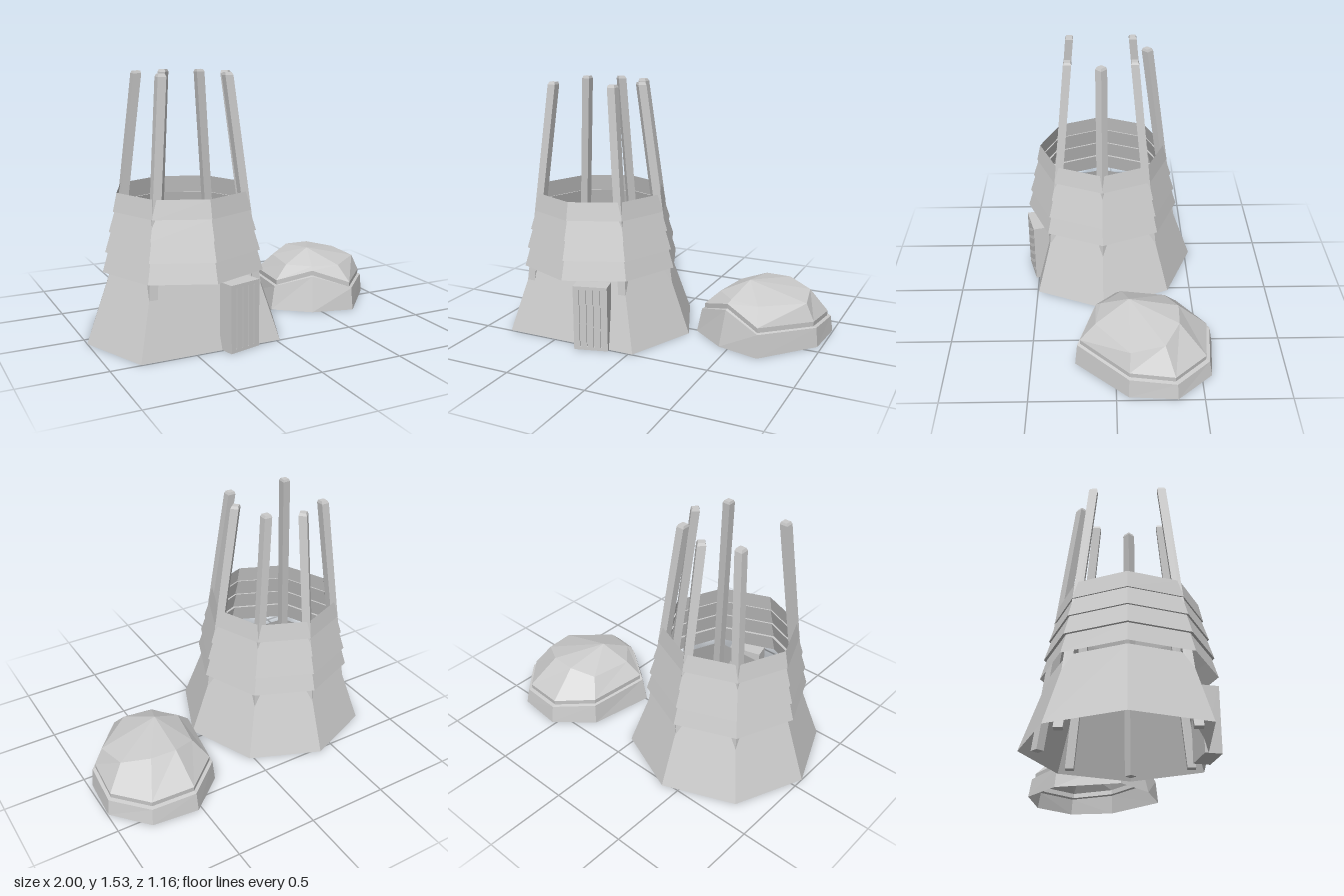
import * as THREE from 'three';

const material = new THREE.MeshStandardMaterial({ color: 0xcccccc, flatShading: true, side: THREE.DoubleSide });

function addMesh(parent, name, geometry) {
  const mesh = new THREE.Mesh(geometry, material);
  mesh.name = name;
  parent.add(mesh);
  return mesh;
}

// Skin stacked closed rings of points (clockwise seen from above, bottom to top)
function loft(rings) {
  const pos = [];
  const n = rings[0].length;
  for (let k = 0; k < rings.length - 1; k++) {
    for (let i = 0; i < n; i++) {
      const j = (i + 1) % n;
      const [a, b, c, d] = [rings[k][j], rings[k][i], rings[k + 1][i], rings[k + 1][j]];
      pos.push(...a, ...b, ...c, ...a, ...c, ...d);
    }
  }
  const geometry = new THREE.BufferGeometry();
  geometry.setAttribute('position', new THREE.Float32BufferAttribute(pos, 3));
  geometry.computeVertexNormals();
  return geometry;
}

// Ring of points at the given angles, measured from the front
const ring = (r, y, angles, cz = 0) => angles.map((a) => [r * Math.sin(a), y, cz + r * Math.cos(a)]);
const eighths = (list) => list.map((i) => -i * Math.PI / 4);
const OCTAGON = eighths([0, 1, 2, 3, 4, 5, 6, 7]);
const FLAT_FRONT = eighths([1, 2, 3, 4, 5, 6, 7]);
const SQUARE = eighths([0, 2, 4, 6]);

function createTower() {
  const tower = new THREE.Group();
  tower.name = 'tower';
  tower.position.set(-0.4, 0, 0.07);

  // Flared base whose two front panels merge into one flat wall
  addMesh(tower, 'baseWall', loft([ring(0.6, 0, FLAT_FRONT), ring(0.45, 0.415, FLAT_FRONT)]));

  // Overlapping tiers of cladding, each with a small lip underneath
  const tiers = [
    [0.415, 0.495, 0.53, 0.46],
    [0.53, 0.477, 0.645, 0.44],
    [0.645, 0.452, 0.76, 0.415],
    [0.76, 0.424, 0.867, 0.4],
  ];
  tiers.forEach(([y0, r0, y1, r1], i) => {
    const rings = [ring(r0, y0, OCTAGON), ring(r1, y1, OCTAGON)];
    if (i > 0) rings.unshift(ring(tiers[i - 1][3], y0, OCTAGON));
    addMesh(tower, 'claddingTier' + (i + 1), loft(rings));
  });

  // Leaning square posts in six of the corners
  const lean = (y) => 0.28 + 0.139 * (1.535 - y);
  const post = loft([
    [0, 0], [0.035, 0], [0.035, 1.52], [0.027, 1.535], [0, 1.535],
  ].map(([r, y]) => ring(r, y, SQUARE, lean(y))));
  for (const i of [1, 2, 3, 4, 5, 7]) {
    addMesh(tower, 'post', post).rotation.y = i * Math.PI / 4;
  }
  return tower;
}

function createDoor() {
  const door = new THREE.Group();
  door.name = 'door';
  door.position.set(-0.223, 0, 0.545);
  door.rotation.y = 0.26;

  const box = (name, w, h, d, x, y, z) =>
    addMesh(door, name, new THREE.BoxGeometry(w, h, d)).position.set(x, y, z);
  box('doorBody', 0.205, 0.395, 0.09, 0, 0.1975, -0.055);
  // Frame and planks, leaving narrow grooves between them
  for (const s of [-1, 1]) box('doorFrameSide', 0.035, 0.395, 0.01, s * 0.085, 0.1975, -0.005);
  box('doorFrameBottom', 0.135, 0.02, 0.01, 0, 0.01, -0.005);
  box('doorFrameTop', 0.135, 0.02, 0.01, 0, 0.385, -0.005);
  for (let i = -1; i <= 1; i++) box('doorPlank', 0.034, 0.355, 0.01, i * 0.042, 0.1975, -0.005);
  return door;
}

function createDome() {
  // Each corner: base x, z, band height, band inset, shoulder inset, shoulder height
  const corners = [
    [0.305, -0.40, 0.13, 0.96, 0.64, 0.27],
    [0.525, -0.588, 0.115, 0.96, 0.54, 0.31],
    [0.81, -0.56, 0.10, 0.96, 0.56, 0.31],
    [0.995, -0.35, 0.10, 0.97, 0.68, 0.28],
    [0.975, -0.07, 0.12, 0.97, 0.80, 0.26],
    [0.70, 0.24, 0.14, 0.96, 0.66, 0.27],
    [0.44, 0.175, 0.22, 0.84, 0.70, 0.275],
    [0.23, 0.01, 0.15, 0.92, 0.62, 0.27],
  ];
  const [cx, cz] = [0.58, -0.12];
  const at = ([x, z], s, y) => [cx + (x - cx) * s, y, cz + (z - cz) * s];
  // Lower band, narrow ledge, raised cap and off-centre peak
  return loft([
    corners.map((c) => at(c, 1, 0)),
    corners.map((c) => at(c, c[3], c[2])),
    corners.map((c) => at(c, c[3] - 0.05, c[2] + 0.005)),
    corners.map((c) => at(c, c[3] - 0.045, c[2] + 0.035)),
    corners.map((c) => at(c, c[4], c[5])),
    corners.map(() => [0.54, 0.355, -0.08]),
  ]);
}

export function createModel() {
  const model = new THREE.Group();
  model.name = 'towerAndFallenDome';
  model.add(createTower(), createDoor());
  addMesh(model, 'fallenDome', createDome());
  return model;
}
